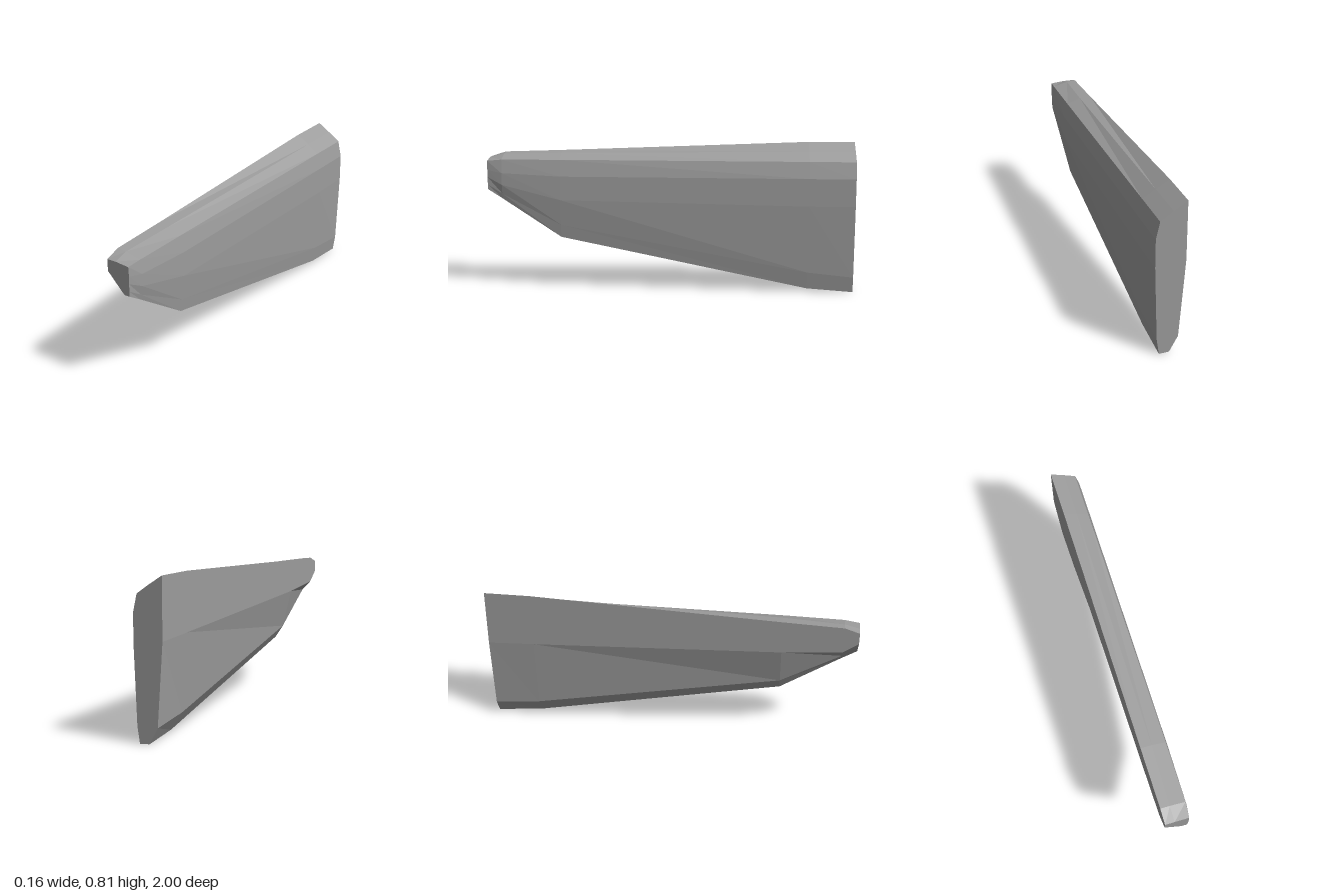
import * as THREE from 'three';

// Cross-sections from back to front: z, then [x, y] points counter-clockwise from the upper inner edge
const SECTIONS = [
  { z: -1.0, p: [[-.08, .81], [-.08, .5], [-.05, .085], [-.005, .003], [.047, 0], [.06, .085], [.075, .48], [.075, .63], [.055, .72], [-.01, .765]] },
  { z: -0.75, p: [[-.08, .81], [-.08, .51], [-.049, .11], [.013, .017], [.045, .017], [.059, .11], [.075, .48], [.075, .63], [.055, .72], [-.01, .765]] },
  { z: 0.6, p: [[-.08, .755], [-.08, .57], [-.03, .36], [.017, .29], [.045, .29], [.054, .36], [.07, .5], [.07, .63], [.055, .72], [-.02, .748]] },
  { z: 0.92, p: [[-.08, .744], [-.08, .597], [-.03, .545], [.016, .502], [.045, .502], [.051, .53], [.062, .58], [.063, .645], [.053, .718], [-.03, .739]] },
  { z: 1.0, p: [[-.08, .718], [-.08, .655], [-.032, .603], [.015, .553], [.045, .553], [.046, .58], [.047, .62], [.048, .66], [.046, .71], [-.03, .718]] },
];

// Skin between neighbouring sections plus a fan over each end
function loft(sections) {
  const n = sections[0].p.length;
  const positions = sections.flatMap(s => s.p.flatMap(([x, y]) => [x, y, s.z]));
  const index = [];
  for (let s = 0; s < sections.length - 1; s++) {
    for (let i = 0; i < n; i++) {
      const j = (i + 1) % n;
      const a = s * n + i, b = s * n + j, c = b + n, d = a + n;
      index.push(a, b, c, a, c, d);
    }
  }
  const last = (sections.length - 1) * n;
  for (let i = 1; i < n - 1; i++) {
    index.push(0, i + 1, i);
    index.push(last, last + i, last + i + 1);
  }
  const indexed = new THREE.BufferGeometry();
  indexed.setAttribute('position', new THREE.Float32BufferAttribute(positions, 3));
  indexed.setIndex(index);
  const geometry = indexed.toNonIndexed();
  geometry.computeVertexNormals();
  return geometry;
}

export function createModel() {
  const group = new THREE.Group();
  group.name = 'taperedPanel';
  const grey = new THREE.MeshStandardMaterial({ color: 0x9c9c9c });
  grey.name = 'grey';
  grey.flatShading = true;

  // Tapered slab with bevelled edges and a blunt front tip
  const panel = new THREE.Mesh(loft(SECTIONS), grey);
  panel.name = 'panelBody';
  group.add(panel);
  return group;
}
